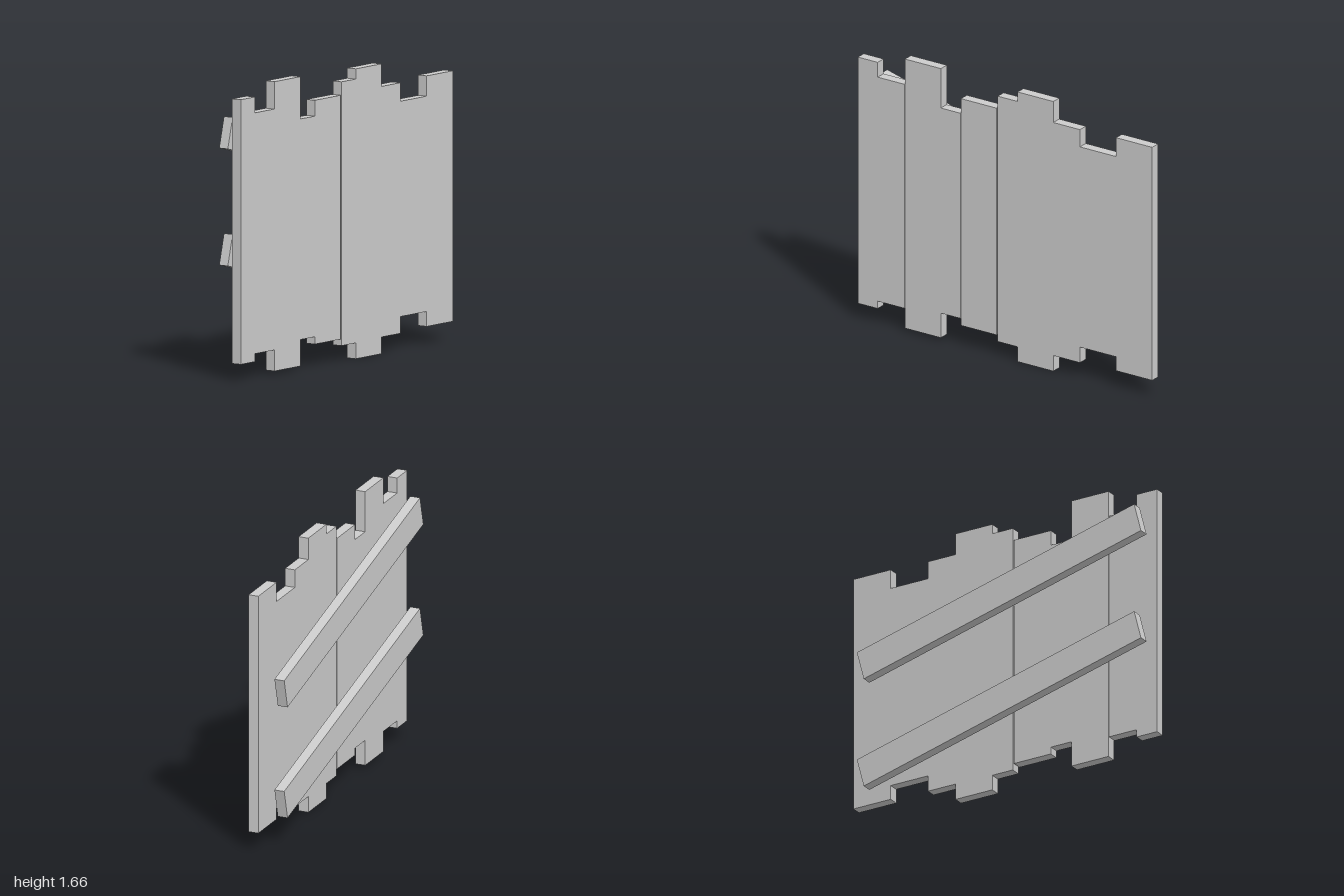
import * as THREE from 'three';

const material = new THREE.MeshStandardMaterial({ color: 0xcccccc, flatShading: true });
const THICK = 0.06;
const OFFSET = 0.058; // distance of each layer's middle from z = 0

// [left x, right x, bottom y, top y] of each upright plank
const PLANKS = [
  [-1.0, -0.865, 0.095, 1.595],
  [-0.865, -0.684, 0.14, 1.505],
  [-0.68, -0.436, 0.02, 1.66],
  [-0.436, -0.301, 0.17, 1.42],
  [-0.3, -0.057, 0.128, 1.51],
  [-0.05, 0.085, 0.09, 1.585],
  [0.085, 0.328, 0.0, 1.643],
  [0.328, 0.509, 0.095, 1.515],
  [0.509, 0.754, 0.19, 1.41],
  [0.754, 1.0, 0.105, 1.525],
];

function board(name, width, height, x, y, z) {
  const mesh = new THREE.Mesh(new THREE.BoxGeometry(width, height, THICK), material);
  mesh.name = name;
  mesh.position.set(x, y, z);
  return mesh;
}

export function createModel() {
  const model = new THREE.Group();
  model.name = 'plankPanel';

  // Uneven upright planks on the front
  PLANKS.forEach(([x0, x1, y0, y1], i) => {
    model.add(board(`plank${i + 1}`, x1 - x0, y1 - y0, (x0 + x1) / 2, (y0 + y1) / 2, OFFSET));
  });

  // Two tilted braces behind the planks
  for (const [name, y] of [['upperBrace', 1.153], ['lowerBrace', 0.49]]) {
    const brace = board(name, 1.885, 0.18, -0.03, y, -OFFSET);
    brace.rotation.z = -THREE.MathUtils.degToRad(14.5);
    model.add(brace);
  }

  return model;
}
